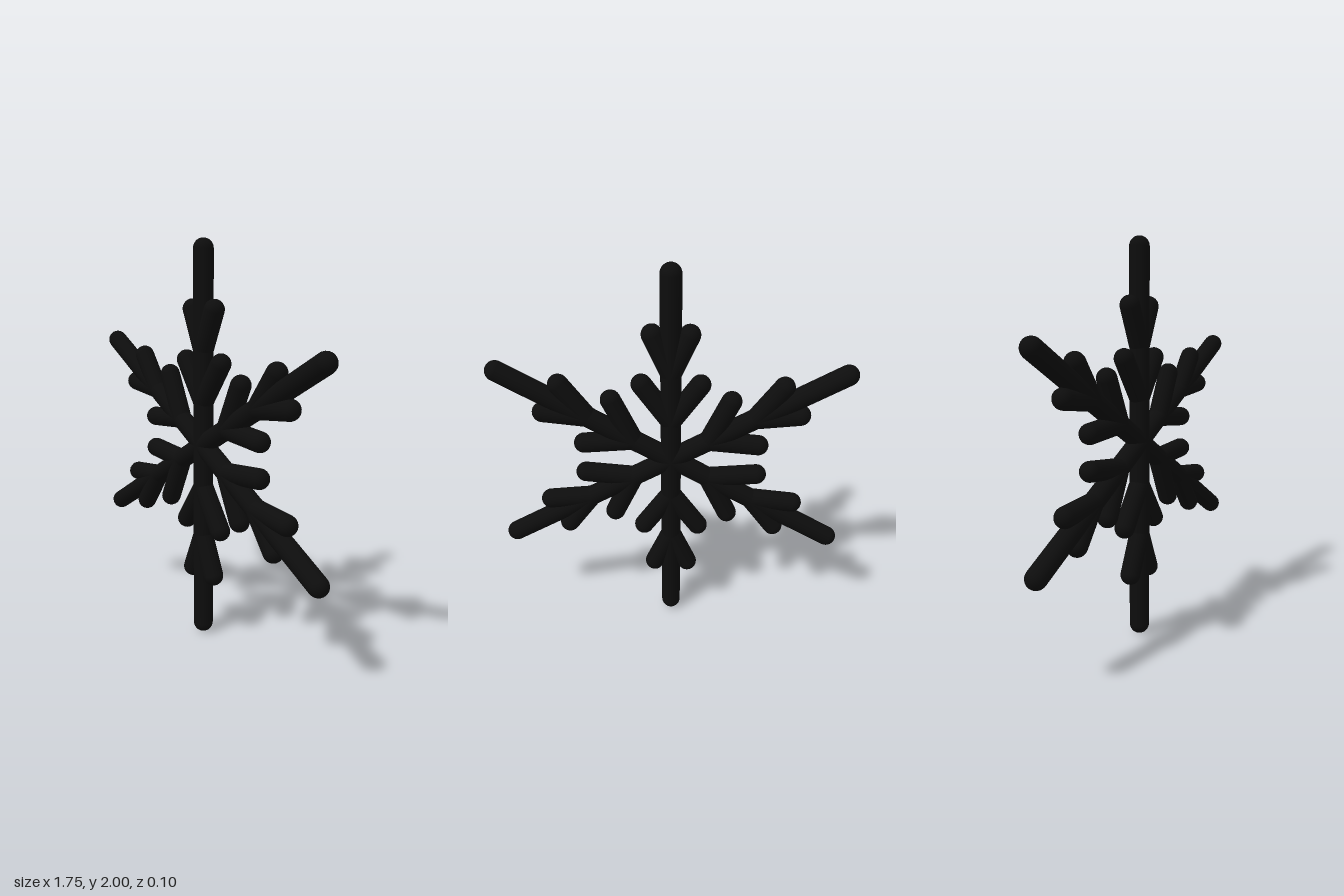
import * as THREE from 'three';

const RADIUS = 0.05;
const material = new THREE.MeshStandardMaterial({ color: 0x0d0d0d });

// Round-ended rod between two points in the XY plane
function rod(name, x0, y0, x1, y1) {
  const from = new THREE.Vector3(x0, y0, 0);
  const to = new THREE.Vector3(x1, y1, 0);
  const mesh = new THREE.Mesh(
    new THREE.CapsuleGeometry(RADIUS, from.distanceTo(to), 8, 24), material);
  mesh.name = name;
  mesh.position.copy(from).add(to).multiplyScalar(0.5);
  mesh.quaternion.setFromUnitVectors(new THREE.Vector3(0, 1, 0), to.sub(from).normalize());
  return mesh;
}

// One arm pointing up: spoke plus two mirrored pairs of branches
function createArm() {
  const arm = new THREE.Group();
  arm.name = 'arm';
  arm.add(rod('spoke', 0, 0, 0, 0.95));
  for (const side of [-1, 1]) {
    arm.add(rod('innerBranch', 0, 0.215, side * 0.14, 0.415));
    arm.add(rod('outerBranch', 0, 0.47, side * 0.087, 0.667));
  }
  return arm;
}

export function createModel() {
  const model = new THREE.Group();
  model.name = 'snowflake';
  // Six arms around the centre
  for (let i = 0; i < 6; i++) {
    const arm = createArm();
    arm.position.y = 1;
    arm.rotation.z = i * Math.PI / 3;
    model.add(arm);
  }
  return model;
}
